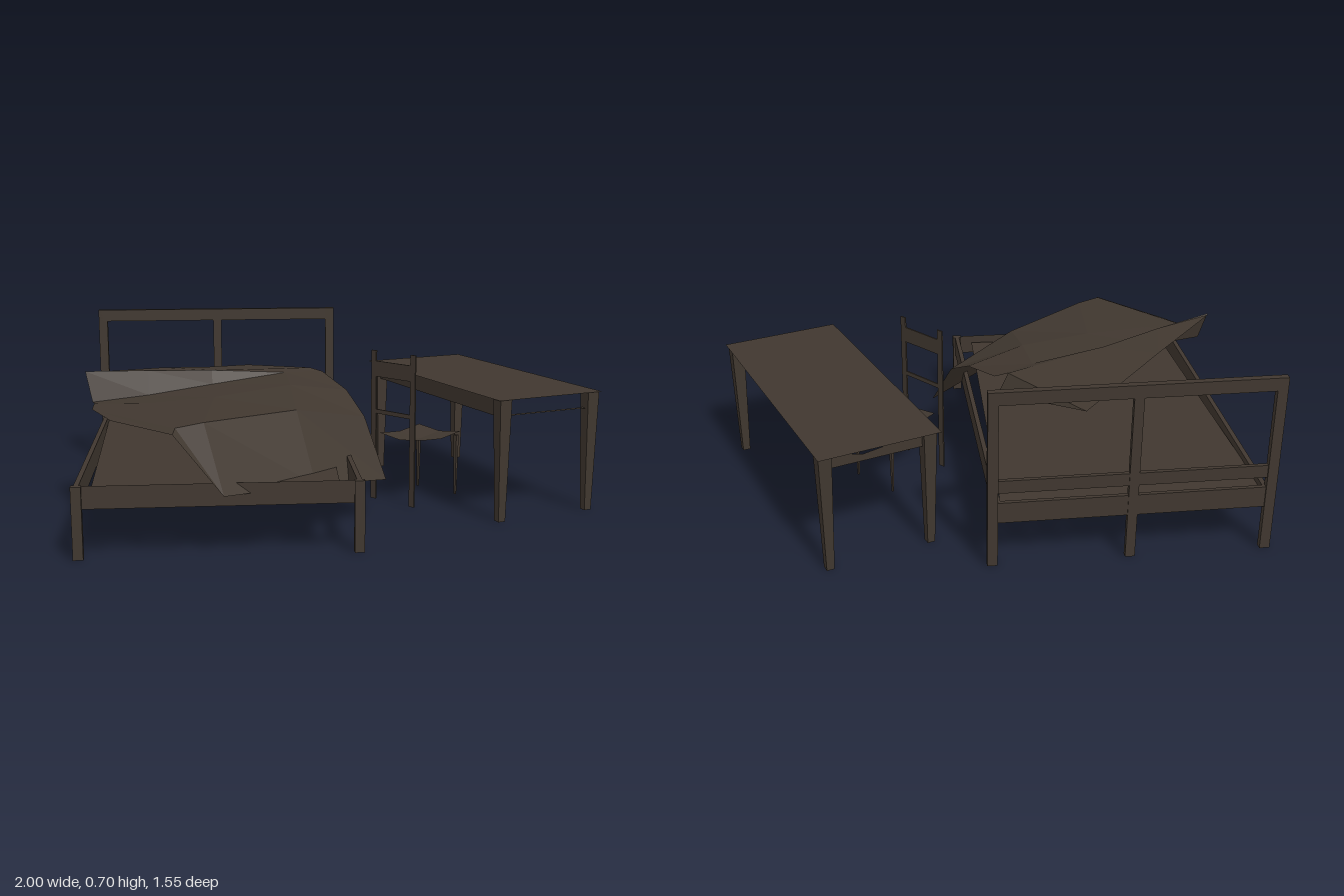
import * as THREE from 'three';

const wood = new THREE.MeshStandardMaterial({ color: 0x40372f, flatShading: true, side: THREE.DoubleSide });
wood.name = 'darkBrown';

function add(parent, name, geometry, x = 0, y = 0, z = 0) {
  const mesh = new THREE.Mesh(geometry, wood);
  mesh.name = name;
  mesh.position.set(x, y, z);
  parent.add(mesh);
  return mesh;
}

// Box placed by its bottom and top heights
function bar(parent, name, x, z, w, d, y0, y1) {
  return add(parent, name, new THREE.BoxGeometry(w, y1 - y0, d), x, (y0 + y1) / 2, z);
}

function makeBed() {
  const bed = new THREE.Group();
  bed.name = 'bedFrame';
  bed.position.set(-0.453, 0, -0.75);
  bed.rotation.y = -0.035;
  // Headboard
  for (const s of [-1, 1]) bar(bed, 'headboardPost', s * 0.508, 0, 0.038, 0.026, 0, 0.7);
  bar(bed, 'headboardMiddlePost', 0, 0, 0.036, 0.022, 0, 0.65);
  bar(bed, 'headboardTopRail', 0, 0, 1.054, 0.026, 0.65, 0.7);
  bar(bed, 'headboardSlat', 0, 0, 0.99, 0.016, 0.3, 0.35);
  bar(bed, 'headboardLowerRail', 0, 0, 0.99, 0.016, 0.178, 0.26);
  // Side rails, foot legs and thin foot board
  for (const s of [-1, 1]) {
    bar(bed, 'sideRail', s * 0.488, 0.725, 0.018, 1.45, 0.178, 0.26);
    bar(bed, 'footLeg', s * 0.488, 1.45, 0.036, 0.026, 0, 0.26);
  }
  add(bed, 'footBoard', new THREE.PlaneGeometry(0.96, 0.082), 0, 0.219, 1.45);
  return bed;
}

// Slightly skewed flat bed base
function makeBase() {
  const shape = new THREE.Shape([[-0.94, -0.74], [0.02, -0.7], [-0.08, 0.695], [-0.945, 0.633]]
    .map(([x, z]) => new THREE.Vector2(x, -z)));
  return new THREE.ShapeGeometry(shape).rotateX(-Math.PI / 2);
}

// Rumpled blanket lofted from rows running left to right, hem first
function makeBlanket() {
  const rows = [
    [-0.88, 0.43, 0.41, -0.66, 0.43, 0.68, -0.49, 0.23, 0.77, -0.15, 0.2, 0.53, 0.145, 0.155, 0.315],
    [-0.955, 0.445, 0.26, -0.65, 0.445, 0.64, -0.55, 0.45, 0.58, -0.2, 0.44, 0.34, 0.085, 0.37, 0.15],
    [-0.95, 0.455, 0.19, -0.75, 0.46, 0.25, -0.5, 0.47, 0.2, -0.2, 0.49, 0.08, 0.035, 0.45, 0],
    [-0.96, 0.45, 0.14, -0.75, 0.46, 0.07, -0.5, 0.48, -0.03, -0.2, 0.505, -0.13, -0.04, 0.495, -0.2],
    [-0.985, 0.565, 0.115, -0.75, 0.55, 0.03, -0.5, 0.53, -0.07, -0.2, 0.515, -0.17, -0.09, 0.51, -0.21],
    [-0.985, 0.56, 0.11, -0.7, 0.53, -0.16, -0.5, 0.5, -0.345, -0.33, 0.48, -0.51, -0.05, 0.43, -0.22],
  ];
  const index = [];
  for (let r = 0; r < rows.length - 1; r++) {
    for (let c = 0; c < 4; c++) {
      const a = r * 5 + c, b = a + 5;
      index.push(a, a + 1, b, a + 1, b + 1, b);
    }
  }
  const geometry = new THREE.BufferGeometry();
  geometry.setAttribute('position', new THREE.Float32BufferAttribute(rows.flat(), 3));
  geometry.setIndex(index);
  const flat = geometry.toNonIndexed();
  flat.computeVertexNormals();
  return flat;
}

function makeTable() {
  const table = new THREE.Group();
  table.name = 'table';
  table.position.set(0.603, 0, -0.14);
  table.rotation.y = 0.318;
  add(table, 'tableTop', new THREE.PlaneGeometry(0.468, 1.08).rotateX(-Math.PI / 2), 0, 0.475, 0);
  // Tapered legs
  for (const x of [-0.2, 0.2]) {
    for (const z of [-0.49, 0.506]) {
      const leg = new THREE.CylinderGeometry(0.036, 0.021, 0.474, 4).rotateY(Math.PI / 4);
      add(table, 'tableLeg', leg, x, 0.237, z);
    }
  }
  bar(table, 'longApron', -0.205, 0.008, 0.01, 0.99, 0.405, 0.474);
  // Sagging apron at the back end, flat stretcher at the front end
  const sag = new THREE.Shape([[-0.2, 0.41], [0.2, 0.41], [0.2, 0.472], [0.05, 0.437], [-0.2, 0.472]]
    .map(([x, y]) => new THREE.Vector2(x, y)));
  add(table, 'endApron', new THREE.ShapeGeometry(sag), 0, 0, -0.495);
  add(table, 'endStretcher', new THREE.PlaneGeometry(0.39, 0.022).rotateX(-Math.PI / 2), 0, 0.41, 0.506);
  return table;
}

function makeChair() {
  const chair = new THREE.Group();
  chair.name = 'chair';
  chair.position.set(0.21, 0, 0.085);
  chair.rotation.y = -0.89;
  for (const s of [-1, 1]) {
    bar(chair, 'chairBackPost', s * 0.102, 0, 0.026, 0.006, 0, 0.61);
    // Thin tapered front legs
    const leg = new THREE.CylinderGeometry(0.011, 0.005, 0.25, 4).rotateY(Math.PI / 4);
    add(chair, 'chairFrontLeg', leg, s * 0.1, 0.125, -0.28);
  }
  bar(chair, 'chairBackSlat', 0, 0, 0.19, 0.006, 0.505, 0.568);
  bar(chair, 'chairLowerSlat', 0, 0, 0.19, 0.006, 0.355, 0.372);
  // Seat with a shallow hollow
  const seat = new THREE.PlaneGeometry(0.22, 0.25, 2, 2).rotateX(-Math.PI / 2);
  const p = seat.attributes.position;
  for (let i = 0; i < p.count; i++) {
    p.setY(i, 0.238 + (Math.abs(p.getX(i)) > 0.01 ? 0.014 : 0) + (Math.abs(p.getZ(i)) > 0.01 ? 0.012 : 0));
  }
  seat.computeVertexNormals();
  add(chair, 'chairSeat', seat, 0, 0, -0.17);
  return chair;
}

export function createModel() {
  const model = new THREE.Group();
  model.name = 'bedroomSet';
  model.add(makeBed(), makeTable(), makeChair());
  add(model, 'bedBase', makeBase(), 0, 0.235, 0);
  add(model, 'blanket', makeBlanket());
  return model;
}
